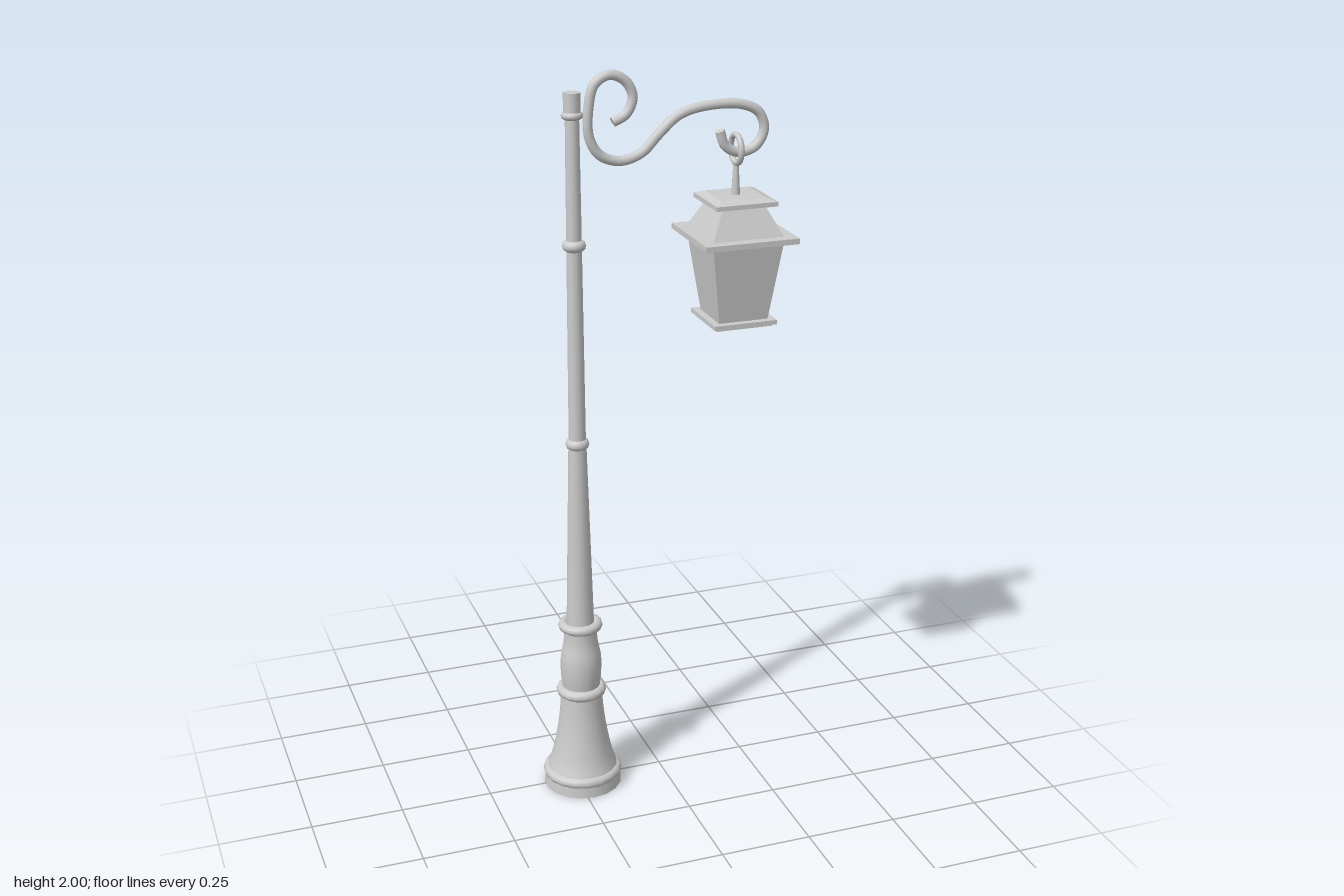
import * as THREE from 'three';

const material = new THREE.MeshStandardMaterial({ color: 0xcccccc });
const flatMaterial = new THREE.MeshStandardMaterial({ color: 0xcccccc, flatShading: true });
const SIDES = 18;

function add(parent, name, geometry, x = 0, y = 0, z = 0, mat = material) {
  const mesh = new THREE.Mesh(geometry, mat);
  mesh.name = name;
  mesh.position.set(x, y, z);
  parent.add(mesh);
  return mesh;
}

// Smooth turned piece from [radius, height] points
function turned(parent, name, points) {
  const curve = new THREE.SplineCurve(points.map(([r, y]) => new THREE.Vector2(r, y)));
  return add(parent, name, new THREE.LatheGeometry(curve.getPoints(points.length * 3), SIDES));
}

// Round moulding around the post
function bead(parent, name, y, radius, tube) {
  const mesh = add(parent, name, new THREE.TorusGeometry(radius - tube, tube, 10, SIDES), 0, y);
  mesh.rotation.x = Math.PI / 2;
}

// Four-sided block with different half widths at bottom and top
function frustum(parent, name, bottom, top, y0, y1) {
  const g = new THREE.CylinderGeometry(top * Math.SQRT2, bottom * Math.SQRT2, y1 - y0, 4);
  g.rotateY(Math.PI / 4);
  add(parent, name, g, 0, (y0 + y1) / 2, 0, flatMaterial);
}

export function createModel() {
  const model = new THREE.Group();
  model.name = 'streetLamp';

  // Post
  const post = new THREE.Group();
  post.name = 'post';
  post.position.set(-0.232, 0, 0.01);
  model.add(post);
  add(post, 'foot', new THREE.CylinderGeometry(0.106, 0.108, 0.03, SIDES), 0, 0.015);
  bead(post, 'footMoulding', 0.04, 0.11, 0.016);
  add(post, 'footTop', new THREE.CylinderGeometry(0.096, 0.1, 0.03, SIDES), 0, 0.043);
  turned(post, 'bell', [[0.097, 0.055], [0.085, 0.09], [0.072, 0.15], [0.062, 0.22], [0.057, 0.29]]);
  bead(post, 'lowerRing', 0.29, 0.069, 0.015);
  turned(post, 'vase', [[0.05, 0.29], [0.056, 0.34], [0.056, 0.39], [0.047, 0.44], [0.046, 0.488]]);
  bead(post, 'upperRing', 0.488, 0.061, 0.014);
  add(post, 'lowerShaft', new THREE.CylinderGeometry(0.024, 0.038, 0.53, SIDES), 0, 0.755);
  bead(post, 'middleBead', 1.02, 0.032, 0.016);
  add(post, 'middleShaft', new THREE.CylinderGeometry(0.02, 0.023, 0.54, SIDES), 0, 1.29);
  bead(post, 'topBead', 1.56, 0.031, 0.015);
  add(post, 'upperShaft', new THREE.CylinderGeometry(0.018, 0.02, 0.34, SIDES), 0, 1.73);
  bead(post, 'capRing', 1.893, 0.028, 0.01);
  add(post, 'cap', new THREE.CylinderGeometry(0.022, 0.022, 0.055, SIDES), 0, 1.923);

  // Scrolled arm
  const path = [
    [-0.125, 1.868], [-0.09, 1.886], [-0.072, 1.927], [-0.09, 1.968], [-0.132, 1.987],
    [-0.172, 1.966], [-0.188, 1.91], [-0.188, 1.836], [-0.161, 1.788], [-0.108, 1.768],
    [-0.05, 1.784], [-0.003, 1.829], [0.05, 1.873], [0.114, 1.891], [0.22, 1.89],
    [0.27, 1.866], [0.285, 1.82], [0.261, 1.778], [0.214, 1.766], [0.177, 1.787], [0.163, 1.825],
  ];
  const curve = new THREE.CatmullRomCurve3(path.map(([x, y]) => new THREE.Vector3(x, y, 0)));
  const arm = new THREE.Group();
  arm.name = 'arm';
  arm.position.z = 0.008;
  model.add(arm);
  add(arm, 'scroll', new THREE.TubeGeometry(curve, 120, 0.013, 12));
  // Closed ends of the scroll
  for (const t of [0, 1]) {
    const disc = add(arm, 'scrollEnd', new THREE.CircleGeometry(0.013, 12));
    const end = curve.getPoint(t);
    const out = curve.getTangent(t).multiplyScalar(t ? 1 : -1);
    disc.position.copy(end);
    disc.quaternion.setFromUnitVectors(new THREE.Vector3(0, 0, 1), out);
  }

  // Hanging lantern
  const lantern = new THREE.Group();
  lantern.name = 'lantern';
  lantern.position.x = 0.212;
  model.add(lantern);
  const ring = add(lantern, 'hangingRing', new THREE.TorusGeometry(0.037, 0.008, 10, 24), 0, 1.773);
  ring.rotation.y = Math.PI / 2;
  add(lantern, 'hangingRod', new THREE.CylinderGeometry(0.007, 0.012, 0.09, 12), 0, 1.692);
  frustum(lantern, 'crown', 0.083, 0.062, 1.646, 1.654);
  frustum(lantern, 'crownPlate', 0.085, 0.085, 1.634, 1.646);
  frustum(lantern, 'roof', 0.098, 0.058, 1.556, 1.634);
  frustum(lantern, 'eaves', 0.129, 0.129, 1.541, 1.556);
  frustum(lantern, 'glassBody', 0.068, 0.098, 1.325, 1.541);
  frustum(lantern, 'bottomPlate', 0.088, 0.088, 1.316, 1.328);
  frustum(lantern, 'bottomTrim', 0.078, 0.078, 1.31, 1.316);

  return model;
}
